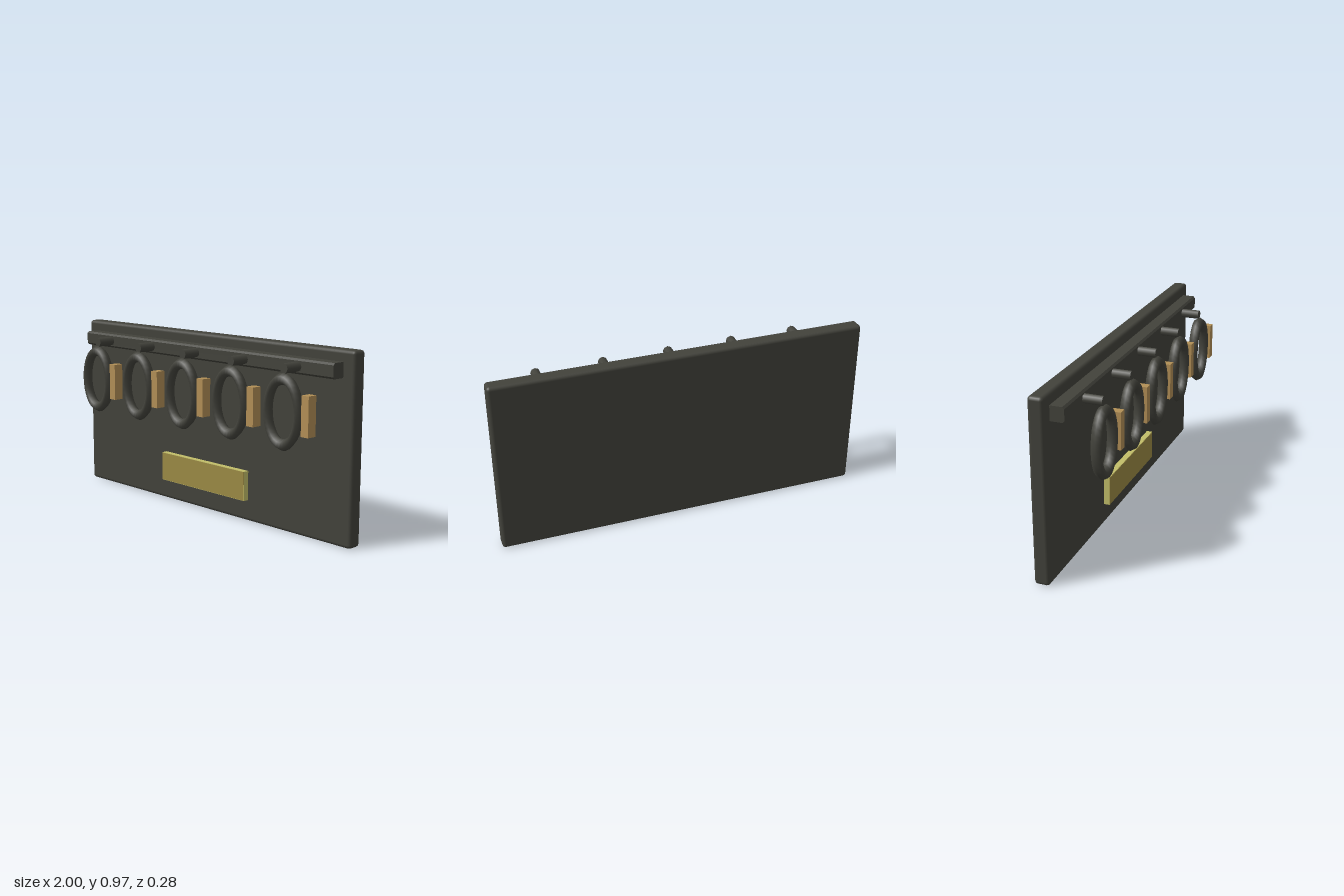
import * as THREE from 'three';
import { RoundedBoxGeometry } from 'three/addons/geometries/RoundedBoxGeometry.js';

const mat = (name, color) => {
  const m = new THREE.MeshStandardMaterial({ color });
  m.name = name;
  return m;
};

export function createModel() {
  const dark = mat('dark iron', 0x42423b);
  const tan = mat('tan wood', 0xb28f56);
  const pale = mat('pale brass', 0xc2be69);
  const brass = mat('brass', 0x9b8a44);
  const group = new THREE.Group();

  const add = (name, geometry, material, x, y, z, parent = group) => {
    const mesh = new THREE.Mesh(geometry, material);
    mesh.name = name;
    mesh.position.set(x, y, z);
    parent.add(mesh);
    return mesh;
  };

  // Backboard with softened edges
  add('backboard', new RoundedBoxGeometry(2, 0.966, 0.08, 2, 0.018), dark, 0, 0.486, -0.1);

  // Rail: a profile with chamfered front edges, run along x
  const c = 0.01, back = -0.07, front = 0.013, low = 0.835, high = 0.912;
  const profile = new THREE.Shape([
    [-back, low], [-back, high], [c - front, high], [-front, high - c],
    [-front, low + c], [c - front, low],
  ].map(([a, b]) => new THREE.Vector2(a, b)));
  const railGeo = new THREE.ExtrudeGeometry(profile, { depth: 1.865, bevelEnabled: false });
  railGeo.rotateY(Math.PI / 2);
  add('rail', railGeo, dark, -0.9325, 0, 0);

  // Nameplate with a darker front face
  add('nameplate', new THREE.BoxGeometry(0.64, 0.158, 0.034), pale, 0, 0.196, -0.046);
  add('nameplateFace', new THREE.BoxGeometry(0.636, 0.154, 0.003), brass, 0, 0.196, -0.0288);

  // Five hooks, each with a peg, an oval ring and a tag
  const pegGeo = new THREE.CylinderGeometry(0.025, 0.025, 0.115, 8).rotateX(Math.PI / 2);
  const ringGeo = new THREE.TorusGeometry(0.161, 0.029, 6, 32).scale(0.61, 1, 1);
  const tagGeo = new THREE.BoxGeometry(0.045, 0.198, 0.054);
  for (let i = -2; i <= 2; i++) {
    const hook = new THREE.Group();
    hook.name = 'hook' + (i + 3);
    hook.position.x = i * 0.355;
    group.add(hook);
    add('peg', pegGeo, dark, 0, 0.874, 0.0545, hook);
    add('ring', ringGeo, dark, 0, 0.664, 0.112, hook);
    add('tag', tagGeo, tan, 0.161, 0.666, 0.113, hook);
  }
  return group;
}
